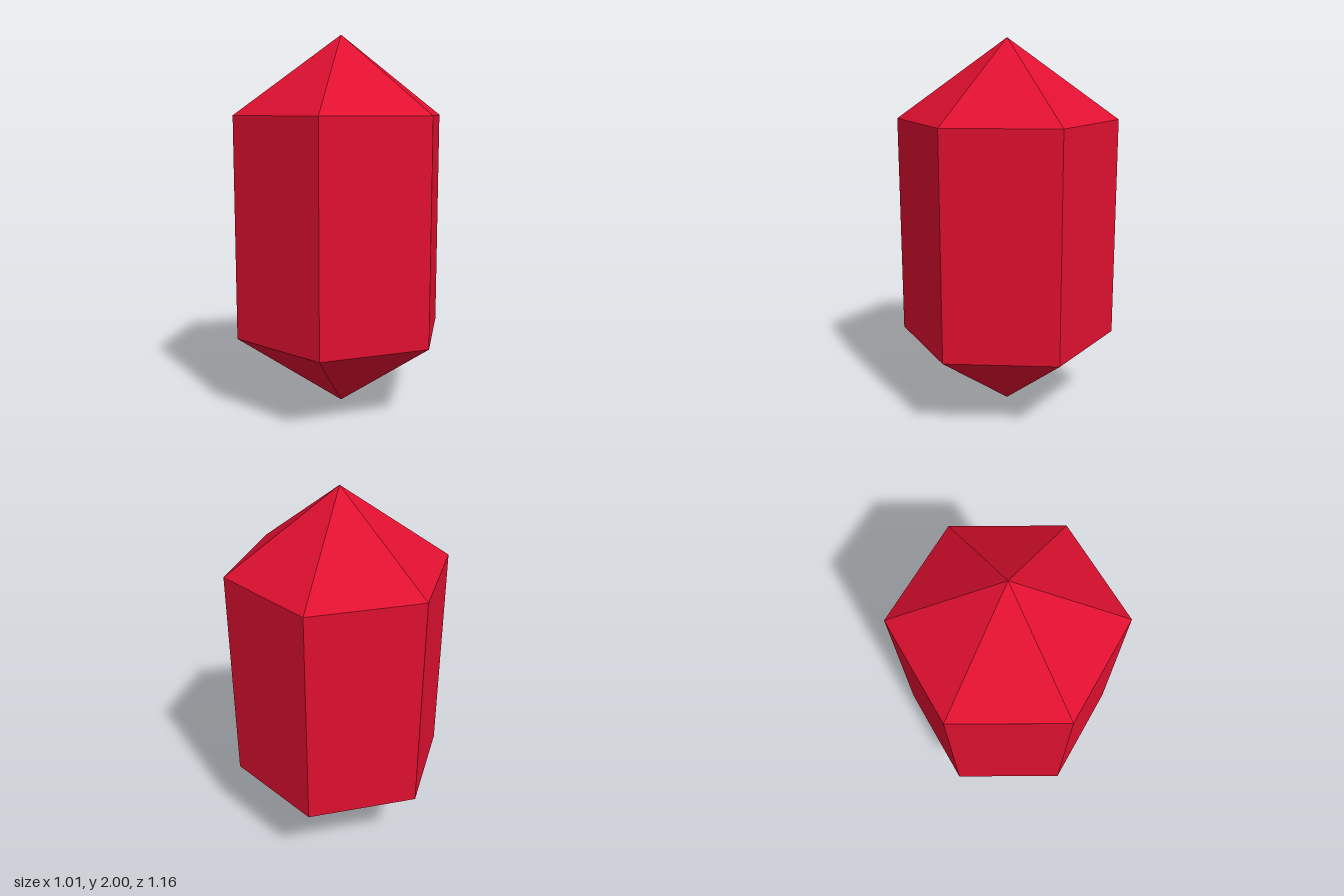
import * as THREE from 'three';

const RADIUS = 0.582, SIDES = 6;
const LOWER = 0.415, UPPER = 1.585, TOP = 2;

export function createModel() {
  const group = new THREE.Group();
  group.name = 'crystal';
  const crimson = new THREE.MeshStandardMaterial({ color: 0xe01030 });
  crimson.name = 'crimson';

  // Open hexagonal band between two heights, with flat facets
  const addBand = (name, rTop, rBottom, y0, y1) => {
    const indexed = new THREE.CylinderGeometry(rTop, rBottom, y1 - y0, SIDES, 1, true);
    const geometry = indexed.toNonIndexed();
    geometry.computeVertexNormals();
    const mesh = new THREE.Mesh(geometry, crimson);
    mesh.name = name;
    mesh.position.y = (y0 + y1) / 2;
    group.add(mesh);
  };

  addBand('lowerPoint', RADIUS, 0, 0, LOWER);
  addBand('body', RADIUS, RADIUS, LOWER, UPPER);
  addBand('upperPoint', 0, RADIUS, UPPER, TOP);

  return group;
}
